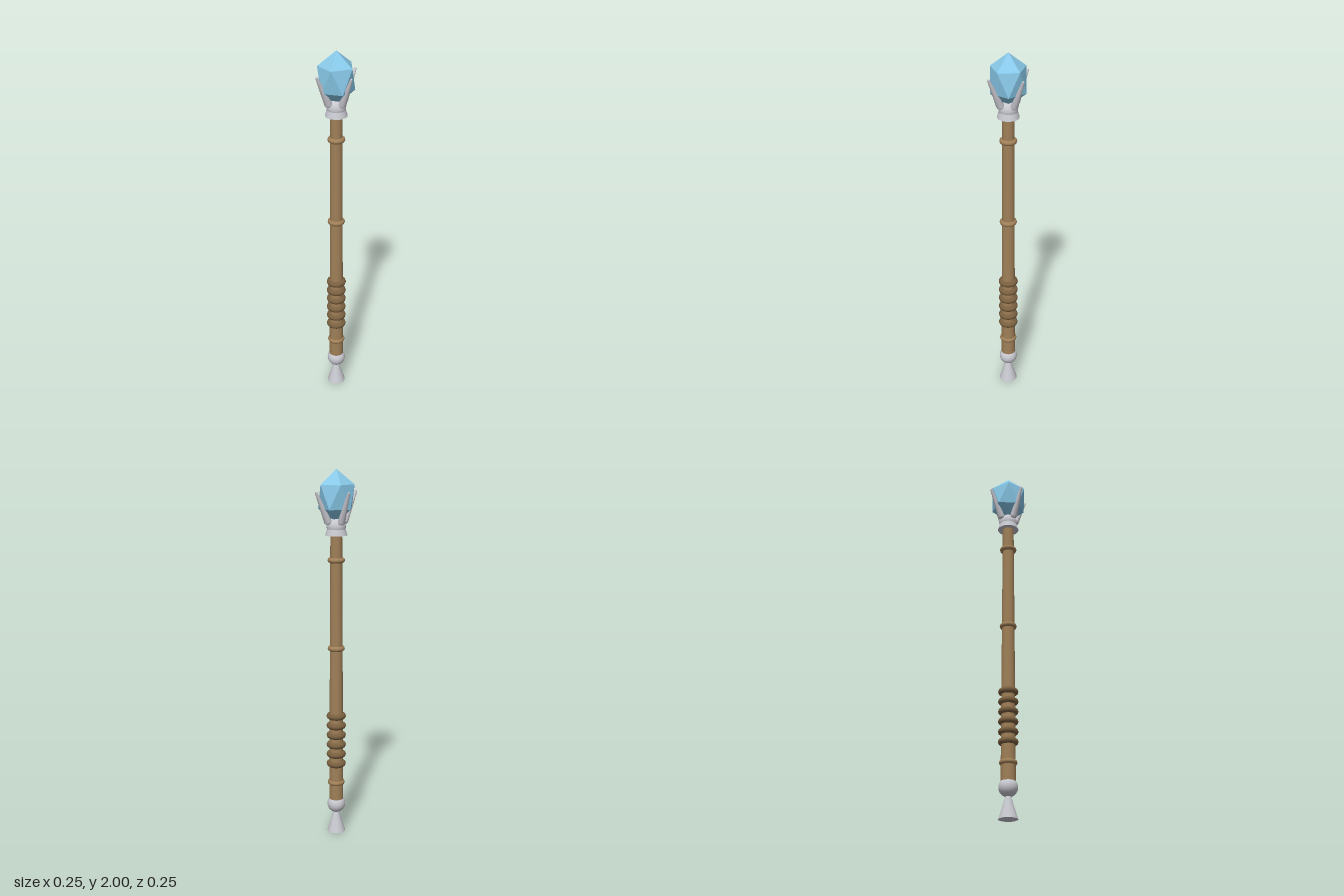
import * as THREE from 'three';

const material = (color, flatShading = false) =>
  new THREE.MeshStandardMaterial({ color, flatShading });

export function createModel() {
  const group = new THREE.Group();
  const wood = material(0xa08058);
  const leather = material(0x7a6040);
  const metal = material(0xc8c8d0);
  const crystalBlue = material(0x88c8e8, true);

  const add = (name, geometry, mat, y = 0, parent = group) => {
    const mesh = new THREE.Mesh(geometry, mat);
    mesh.name = name;
    mesh.position.y = y;
    parent.add(mesh);
    return mesh;
  };
  const ring = (name, y, radius, tube, mat) =>
    add(name, new THREE.TorusGeometry(radius, tube, 10, 32).rotateX(Math.PI / 2), mat, y);

  // Tapered shaft with three thin bands
  add('shaft', new THREE.CylinderGeometry(0.031, 0.039, 1.5, 24), wood, 0.93);
  [[0.29, 0.033], [1.055, 0.032], [1.53, 0.032]].forEach(([y, r], i) =>
    ring(`shaftBand${i + 1}`, y, r, 0.014, wood));

  // Wrapped grip
  for (let i = 0; i < 6; i++) ring(`gripRing${i + 1}`, 0.4 + i * 0.055, 0.036, 0.017, leather);

  // Pommel: flared foot below a ball
  add('pommelFoot', new THREE.CylinderGeometry(0.013, 0.05, 0.12, 24), metal, 0.06);
  add('pommelBall', new THREE.SphereGeometry(0.05, 24, 16), metal, 0.162);

  // Head collar and socket
  add('collar', new THREE.CylinderGeometry(0.045, 0.058, 0.045, 24), metal, 1.6825);
  add('socket', new THREE.SphereGeometry(0.05, 24, 16), metal, 1.705);

  // Four prongs leaning outwards, tapering to rounded tips
  const lean = Math.atan2(0.076, 0.165);
  const profile = [[0, 0], [0.014, 0.002], [0.02, 0.012], [0.007, 0.18], [0.004, 0.185], [0, 0.187]]
    .map(([r, y]) => new THREE.Vector2(r, y));
  for (let i = 0; i < 4; i++) {
    const arm = new THREE.Group();
    arm.name = `prongArm${i + 1}`;
    arm.rotation.y = i * Math.PI / 2;
    group.add(arm);
    const prong = add('prong', new THREE.LatheGeometry(profile, 12), metal, 1.72, arm);
    prong.position.x = 0.045;
    prong.rotation.z = -lean;
  }

  // Tall faceted crystal standing on a vertex
  const gem = new THREE.IcosahedronGeometry(1, 0)
    .rotateZ(-Math.atan(2 / (1 + Math.sqrt(5))))
    .scale(0.106, 0.14, 0.106);
  add('crystal', gem, crystalBlue, 1.86);

  return group;
}
